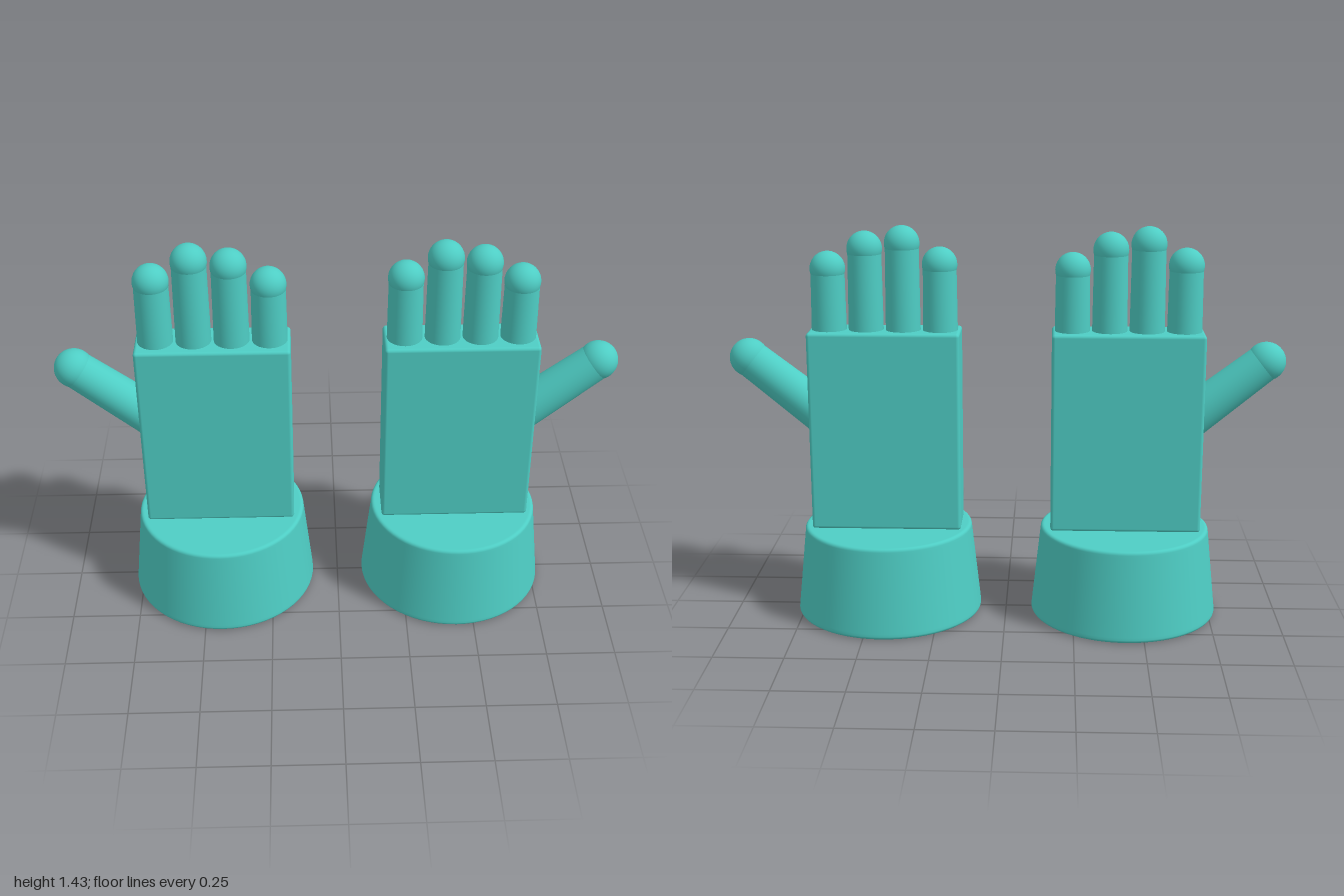
import * as THREE from 'three';
import { RoundedBoxGeometry } from 'three/addons/geometries/RoundedBoxGeometry.js';

const material = new THREE.MeshStandardMaterial({ color: 0x4ecdc4 });

function part(name, geometry, x = 0, y = 0, z = 0) {
  const mesh = new THREE.Mesh(geometry, material);
  mesh.name = name;
  mesh.position.set(x, y, z);
  return mesh;
}

// Tapered round cuff with softly rounded rims
function cuffGeometry(bottomR, topR, height, bevel) {
  const points = [new THREE.Vector2(0, 0), new THREE.Vector2(bottomR - bevel - 0.004, 0)];
  const steps = 4;
  for (let i = 0; i <= steps; i++) {
    const a = -Math.PI / 2 + (i / steps) * (Math.PI / 2);
    points.push(new THREE.Vector2(bottomR - bevel + bevel * Math.cos(a), bevel + bevel * Math.sin(a)));
  }
  points.push(new THREE.Vector2(bottomR - 0.001, bevel + 0.01));
  points.push(new THREE.Vector2(topR + 0.001, height - bevel - 0.01));
  for (let i = 0; i <= steps; i++) {
    const a = (i / steps) * (Math.PI / 2);
    points.push(new THREE.Vector2(topR - bevel + bevel * Math.cos(a), height - bevel + bevel * Math.sin(a)));
  }
  points.push(new THREE.Vector2(topR - bevel - 0.004, height), new THREE.Vector2(0, height));
  return new THREE.LatheGeometry(points, 64);
}

// Tapered cylinder with a ball on its tip, growing up from the group's origin
function digit(name, length, baseR, topR, ballR) {
  const group = new THREE.Group();
  group.name = name;
  group.add(part(name + 'Shaft', new THREE.CylinderGeometry(topR, baseR, length, 32), 0, length / 2));
  group.add(part(name + 'Tip', new THREE.SphereGeometry(ballR, 32, 20), 0, length));
  return group;
}

// side = +1 puts the thumb towards +x, -1 towards -x
function hand(name, side) {
  const group = new THREE.Group();
  group.name = name;
  group.position.x = side * 0.436;

  group.add(part('cuff', cuffGeometry(0.341, 0.308, 0.33, 0.012)));
  group.add(part('palm', new RoundedBoxGeometry(0.545, 0.73, 0.178, 3, 0.012), 0, 0.692));

  // Four fingers, in the same order on both hands
  const tips = [1.355, 1.43, 1.41, 1.338];
  const fingerR = 0.063;
  const base = 1.03;
  tips.forEach((tip, i) => {
    const finger = digit('finger' + (i + 1), tip - fingerR - base, fingerR, 0.06, fingerR);
    finger.position.set(-0.2 + i * 0.1333, base, 0);
    group.add(finger);
  });

  // Thumb leaning outwards from inside the palm edge
  const start = new THREE.Vector2(0.2, 0.715);
  const end = new THREE.Vector2(0.494, 0.95);
  const thumb = digit('thumb', start.distanceTo(end), 0.076, 0.067, 0.07);
  thumb.position.set(side * start.x, start.y, 0);
  thumb.rotation.z = -side * Math.atan2(end.x - start.x, end.y - start.y);
  group.add(thumb);
  return group;
}

export function createModel() {
  const model = new THREE.Group();
  model.name = 'pairOfGloves';
  model.add(hand('leftHand', 1), hand('rightHand', -1));
  return model;
}
